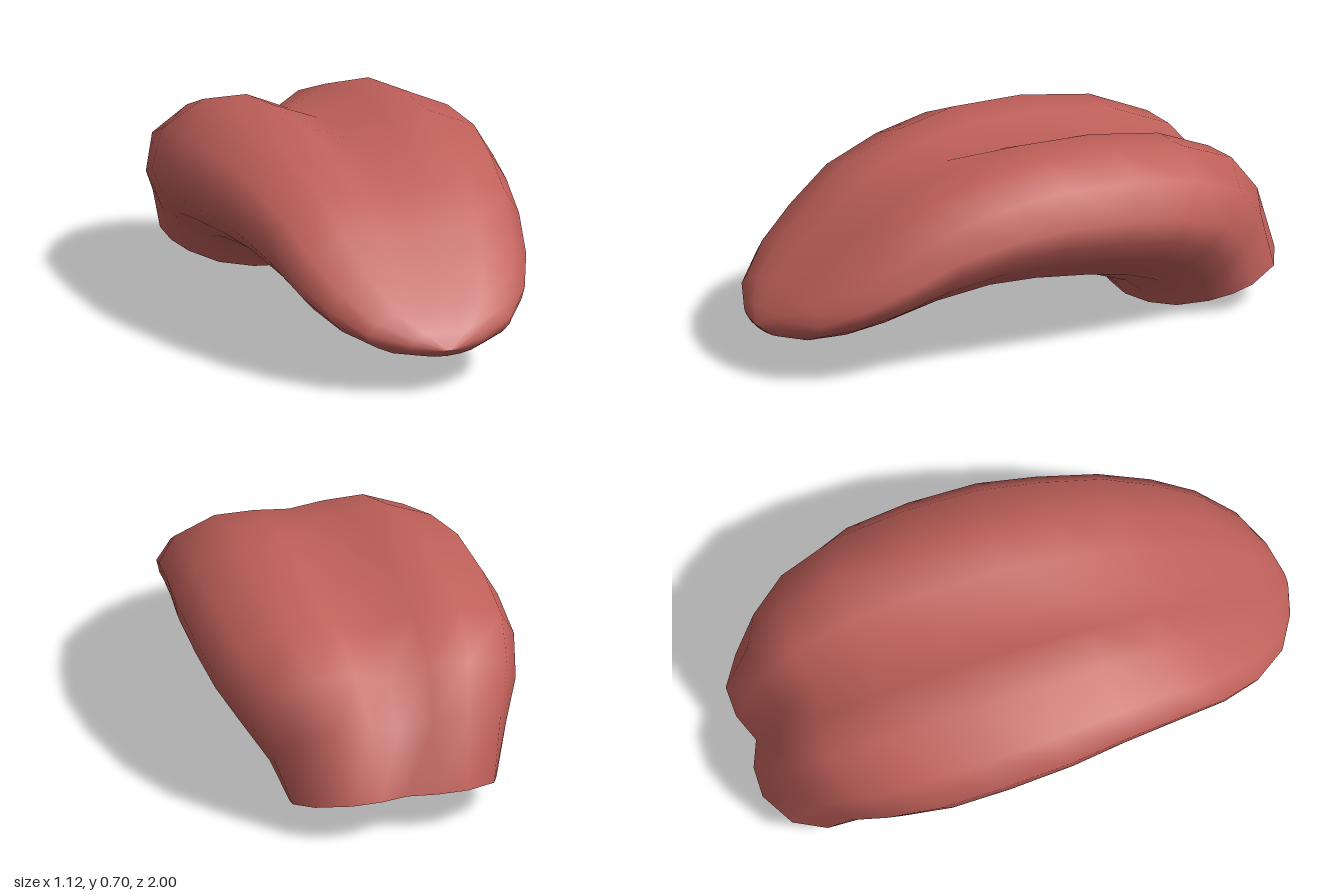
import * as THREE from 'three';

// Stations from tip to root: top z, top y, bottom z, bottom y, half width, groove depth
const STATIONS = [
  [1.0, 0.172, 1.0, 0.168, 0.02, 0],
  [0.97, 0.228, 0.97, 0.14, 0.14, 0],
  [0.9, 0.288, 0.9, 0.129, 0.27, 0],
  [0.78, 0.385, 0.78, 0.136, 0.37, 0.01],
  [0.63, 0.488, 0.65, 0.158, 0.432, 0.02],
  [0.46, 0.6, 0.45, 0.203, 0.478, 0.04],
  [0.23, 0.67, 0.25, 0.226, 0.517, 0.07],
  [0, 0.703, 0.08, 0.22, 0.55, 0.125],
  [-0.28, 0.692, -0.12, 0.192, 0.56, 0.12],
  [-0.56, 0.644, -0.27, 0.16, 0.55, 0.13],
  [-0.78, 0.55, -0.4, 0.11, 0.5, 0.13],
  [-0.91, 0.4, -0.48, 0.05, 0.43, 0.12],
  [-1.0, 0.155, -0.515, 0.003, 0.375, 0.09],
];

// Half cross-section: fraction of half width, fraction of height from bottom to top
const HALF = [
  [0, 0], [0.35, 0.035], [0.65, 0.13], [0.87, 0.3], [0.97, 0.45],
  [1, 0.61], [0.88, 0.85], [0.57, 1], [0.27, 0.995], [0, 1],
];

function createLoft() {
  // Mirror the half section into a closed ring
  const ring = [...HALF, ...HALF.slice(1, -1).reverse().map(([x, v]) => [-x, v])];
  const n = ring.length;
  const positions = [];
  const indices = [];
  STATIONS.forEach(([tz, ty, bz, by, w, groove], i) => {
    ring.forEach(([x, v], j) => {
      const h = j === HALF.length - 1 ? 1 - groove : v;
      positions.push(x * w, by + (ty - by) * h, bz + (tz - bz) * h);
      if (i === STATIONS.length - 1) return;
      const a = i * n + j;
      const b = i * n + (j + 1) % n;
      indices.push(a, a + n, b, b, a + n, b + n);
    });
  });
  // Close the tip; the root stays open
  for (let j = 1; j < n - 1; j++) indices.push(0, j, j + 1);

  const geometry = new THREE.BufferGeometry();
  geometry.setAttribute('position', new THREE.Float32BufferAttribute(positions, 3));
  geometry.setIndex(indices);
  geometry.computeVertexNormals();
  return geometry;
}

export function createModel() {
  const group = new THREE.Group();
  group.name = 'tongue';
  const material = new THREE.MeshStandardMaterial({ color: 0xc0605a, side: THREE.DoubleSide });
  const body = new THREE.Mesh(createLoft(), material);
  body.name = 'tongueBody';
  group.add(body);
  return group;
}
